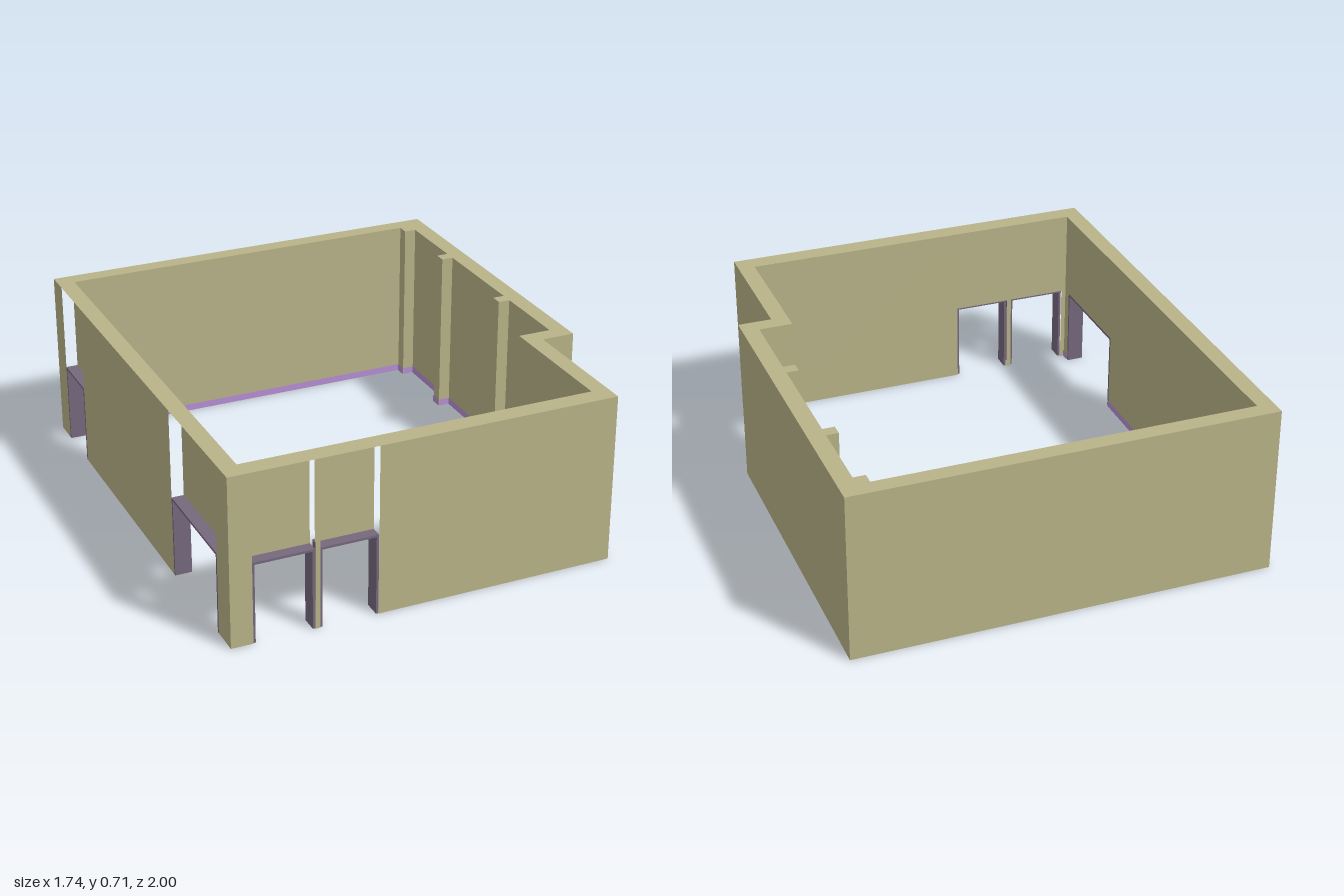
import * as THREE from 'three';

const H = 0.71;      // wall height
const T = 0.07;      // wall thickness
const DOOR = 0.34;   // opening height, frame included
const wallMat = new THREE.MeshStandardMaterial({ color: 0xb8b388 });
const frameMat = new THREE.MeshStandardMaterial({ color: 0x75687c });
const boardMat = new THREE.MeshStandardMaterial({ color: 0xb78fd4 });

// Openings as ranges along each wall
const frontDoors = [[-0.78, -0.53], [-0.51, -0.27]];
const leftDoors = [[-0.89, -0.65], [0.41, 0.88]];
const rightDoors = [[0.53, 0.75]];

export function createModel() {
  const model = new THREE.Group();

  const add = (name, geometry, material) => {
    const mesh = new THREE.Mesh(geometry, material);
    mesh.name = name;
    model.add(mesh);
    return mesh;
  };

  // Upright face from point a to point b; it faces the right-hand side of travel seen from above mirrored in z
  function strip(name, a, b, y0, y1, material, out = 0) {
    const dx = b[0] - a[0], dz = b[1] - a[1], len = Math.hypot(dx, dz);
    if (len < 1e-4) return;
    const mesh = add(name, new THREE.PlaneGeometry(len, y1 - y0), material);
    mesh.position.set((a[0] + b[0]) / 2 - dz / len * out, (y0 + y1) / 2, (a[1] + b[1]) / 2 + dx / len * out);
    mesh.rotation.y = Math.atan2(-dz, dx);
  }

  // Wall face split around its openings; the panel over each opening may be set back
  function face(name, a, b, openings = [], setBack = 0, board = false) {
    const axis = Math.abs(b[0] - a[0]) > Math.abs(b[1] - a[1]) ? 0 : 1;
    const forward = b[axis] > a[axis];
    const at = c => (axis === 0 ? [c, a[1]] : [a[0], c]);
    const runs = openings.map(o => (forward ? o : [o[1], o[0]]));
    if (!forward) runs.reverse();
    let start = a;
    const solid = end => {
      strip(name, start, end, 0, H, wallMat);
      if (board) strip('baseboard', start, end, 0, 0.03, boardMat, 0.004);
    };
    for (const [c0, c1] of runs) {
      solid(at(c0));
      strip(name + 'OverDoor', at(c0), at(c1), DOOR, H, wallMat, -setBack);
      start = at(c1);
    }
    solid(b);
  }

  // Outer outline
  const outer = [[-0.87, 1], [0.73, 1], [0.73, 0.42], [0.87, 0.42], [0.87, -1], [-0.87, -1]];
  outer.forEach((p, i) => {
    const doors = { 0: frontDoors, 1: rightDoors, 5: leftDoors }[i];
    face('outerWall', p, outer[(i + 1) % outer.length], doors, i === 1 ? 0 : 0.05);
  });

  // Inner outline, stepping round the three piers on the left-hand side
  const piers = [[-0.88, -0.93], [-0.51, -0.56], [0.01, -0.04]];
  const inner = [[0.66, 0.92], [-0.8, 0.92], [-0.8, -0.93], [0.75, -0.93], [0.75, -0.88], [0.8, -0.88]];
  for (const [z1, z0] of piers.slice(1)) inner.push([0.8, z0], [0.75, z0], [0.75, z1], [0.8, z1]);
  inner.push([0.8, 0.35], [0.66, 0.35]);
  inner.forEach((p, i) => {
    const doors = { 0: frontDoors, 1: leftDoors, [inner.length - 1]: rightDoors }[i];
    face('innerWall', p, inner[(i + 1) % inner.length], doors, 0, i > 0);
  });

  // Wall top
  const toV = p => new THREE.Vector2(p[0], -p[1]);
  const plan = new THREE.Shape(outer.map(toV));
  plan.holes.push(new THREE.Path(inner.map(toV)));
  const top = add('wallTop', new THREE.ShapeGeometry(plan), wallMat);
  top.rotation.x = -Math.PI / 2;
  top.position.y = H;

  // Undersides, left out at the openings
  const feet = [
    [-0.87, 0.92, -0.78, 1], [-0.87, 0.88, -0.8, 0.92], [-0.53, 0.92, -0.51, 1], [-0.27, 0.92, 0.73, 1],
    [0.66, 0.75, 0.73, 0.92], [0.66, 0.42, 0.73, 0.53], [0.66, 0.35, 0.87, 0.42], [0.8, -0.93, 0.87, 0.35],
    [-0.87, -1, 0.87, -0.93], [-0.87, -0.93, -0.8, -0.89], [-0.87, -0.65, -0.8, 0.41],
    ...piers.map(([z1, z0]) => [0.75, z0, 0.8, z1]),
  ];
  for (const [x0, z0, x1, z1] of feet) {
    const foot = add('wallFoot', new THREE.PlaneGeometry(x1 - x0, z1 - z0), wallMat);
    foot.rotation.x = Math.PI / 2;
    foot.position.set((x0 + x1) / 2, 0, (z0 + z1) / 2);
  }

  // Door frames: two jambs and a header through the wall thickness
  function doorFrame([c0, c1], alongX, centre, t) {
    const frame = new THREE.Group();
    frame.name = 'doorFrame';
    const w = c1 - c0;
    const bar = (name, sx, sy, x, y) => {
      const mesh = new THREE.Mesh(new THREE.BoxGeometry(sx, sy, T), frameMat);
      mesh.name = name;
      mesh.position.set(x, y, 0);
      frame.add(mesh);
    };
    for (const s of [-1, 1]) bar('jamb', t, DOOR, s * (w - t) / 2, DOOR / 2);
    bar('header', w - 2 * t, 0.01, 0, DOOR - 0.005);
    const mid = (c0 + c1) / 2;
    if (alongX) frame.position.set(mid, 0, centre);
    else {
      frame.position.set(centre, 0, mid);
      frame.rotation.y = Math.PI / 2;
    }
    model.add(frame);
  }
  frontDoors.forEach(d => doorFrame(d, true, 0.962, 0.01));
  leftDoors.forEach(d => doorFrame(d, false, -0.835, 0.01));
  rightDoors.forEach(d => doorFrame(d, false, 0.695, 0.003));

  return model;
}
